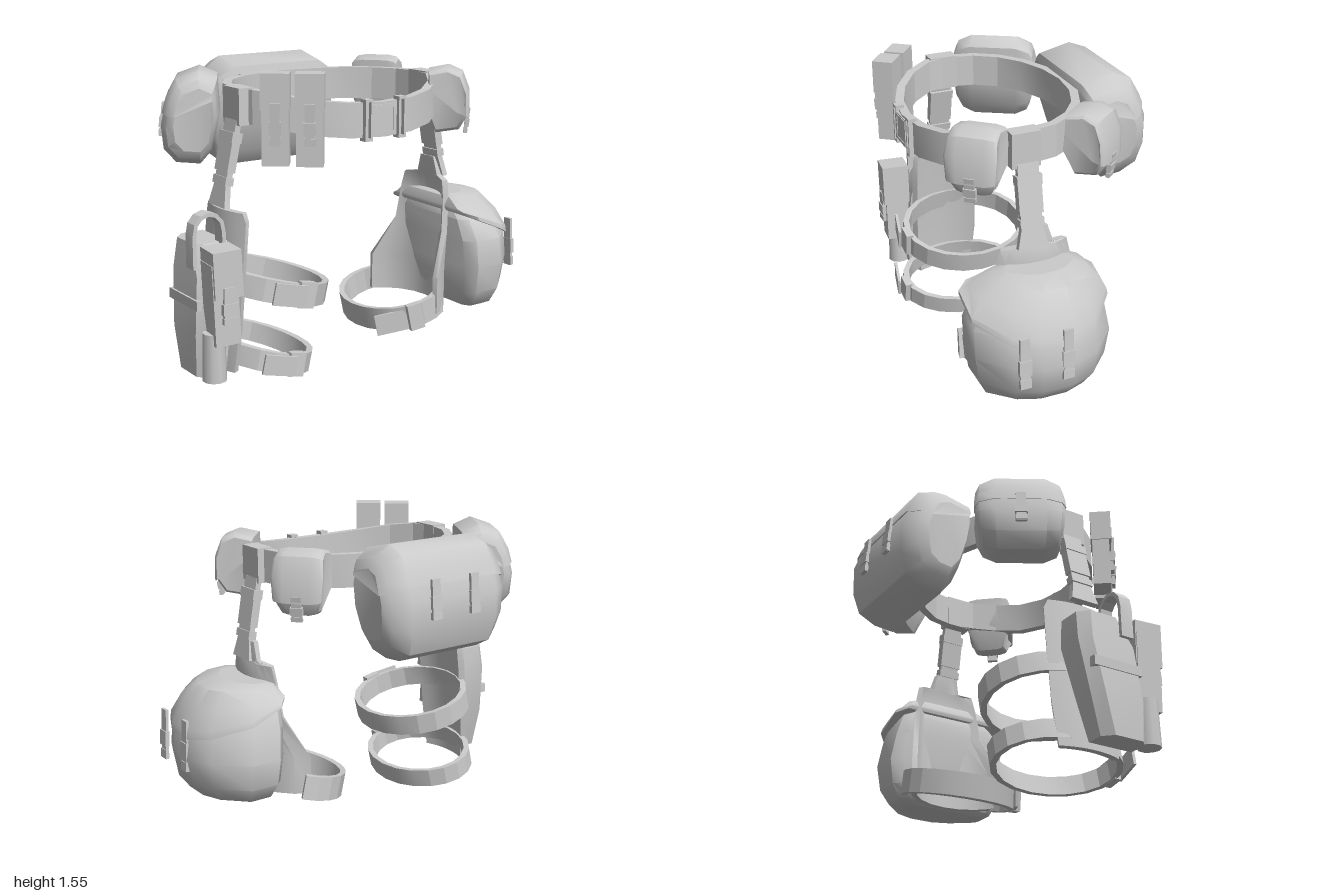
import * as THREE from 'three';
import { toCreasedNormals } from 'three/addons/utils/BufferGeometryUtils.js';

const mat = new THREE.MeshStandardMaterial({ color: 0xcccccc, side: THREE.DoubleSide });
const rad = THREE.MathUtils.degToRad;

// Skin a row of equal-length loops of [x, y, z] points and cap both ends
function loft(name, sections, crease = 0.3) {
  const m = sections[0].length, n = sections.length, pos = sections.flat(2), idx = [];
  const quad = (a, b, c, d) => idx.push(a, b, c, a, c, d);
  for (let s = 0; s < n - 1; s++) {
    for (let i = 0; i < m; i++) {
      const j = (i + 1) % m;
      quad(s * m + i, s * m + j, (s + 1) * m + j, (s + 1) * m + i);
    }
  }
  const cap = (o, flip) => {
    for (let i = 0; i + 1 <= m - 2 - i; i++) {
      const q = [i, m - 1 - i, m - 2 - i, i + 1].map(k => k + o);
      if (i + 1 === m - 2 - i) idx.push(...(flip ? [q[0], q[2], q[1]] : [q[0], q[1], q[2]]));
      else quad(...(flip ? q.reverse() : q));
    }
  };
  cap(0, true);
  cap((n - 1) * m, false);
  // turn the faces outward if the enclosed volume is negative
  const p = k => new THREE.Vector3().fromArray(pos, idx[k] * 3);
  let volume = 0;
  for (let k = 0; k < idx.length; k += 3) volume += p(k).dot(p(k + 1).cross(p(k + 2)));
  if (volume < 0) idx.reverse();
  const g = new THREE.BufferGeometry();
  g.setAttribute('position', new THREE.Float32BufferAttribute(pos, 3));
  g.setIndex(idx);
  const mesh = new THREE.Mesh(toCreasedNormals(g, crease), mat);
  mesh.name = name;
  return mesh;
}

function box(name, size, at, ry = 0, rx = 0, rz = 0) {
  const mesh = new THREE.Mesh(new THREE.BoxGeometry(...size), mat);
  mesh.name = name;
  mesh.position.set(...at);
  mesh.rotation.set(rx, ry, rz, 'YXZ');
  return mesh;
}

function group(name, ...parts) {
  const g = new THREE.Group();
  g.name = name;
  return g.add(...parts);
}

// Elliptical band; yOf gives its middle height, lean shifts the top edge along x
function band(name, cx, cz, rx, rz, yOf, h, t, lean = 0, a0 = 0, a1 = 360, n = 20) {
  const sections = [];
  for (let i = 0; i <= n; i++) {
    const a = rad(a0 + (a1 - a0) * i / n), c = Math.cos(a), s = Math.sin(a);
    const y = yOf(cx + rx * c, cz + rz * s);
    sections.push([[0, -1], [0, 1], [t, 1], [t, -1]].map(([k, v]) =>
      [cx + (rx - k) * c + lean * v * h / 2, y + v * h / 2, cz + (rz - k) * s]));
  }
  return loft(name, sections);
}

// Curved plate: rows of [y, centre x, half angle], facing along +x (mid 0) or -x (mid 180)
function shell(name, rows, mid, cz, rx, rz, t = 0.03) {
  return loft(name, rows.map(([y, cx, half]) => {
    const arc = (k, dir) => Array.from({ length: 9 }, (_, i) => {
      const a = rad(mid + dir * half * (i / 4 - 1));
      return [cx + (rx - k) * Math.cos(a), y, cz + (rz - k) * Math.sin(a)];
    });
    return [...arc(0, 1), ...arc(t, -1)];
  }), 0.6);
}

// Bulging sack from rows of [y, x0, x1, z0, z1, slope], rounded on its +x side;
// slope lifts the inner side of a row
function sack(name, rows) {
  const outline = [[0, 0.08], [0.12, 0], [0.5, 0], [0.87, 0.2], [1, 0.38]];
  return loft(name, rows.map(([y, x0, x1, z0, z1, slope = 0]) => {
    const side = outline.map(([u, v]) => [u, v]);
    const far = outline.map(([u, v]) => [u, 1 - v]).reverse();
    return [...side, ...far].map(([u, v]) =>
      [x0 + (x1 - x0) * u, y + slope * (1 - u), z0 + (z1 - z0) * v]);
  }), 0.75);
}

// Flat webbing along [x, y] points, with its width along z
function webbing(name, pts, cz, widths, t = 0.025) {
  return loft(name, pts.map(([x, y], i) => {
    const a = pts[Math.max(i - 1, 0)], b = pts[Math.min(i + 1, pts.length - 1)];
    const l = Math.hypot(b[0] - a[0], b[1] - a[1]), w = (widths[i] ?? widths[0]) / 2;
    const nx = (b[1] - a[1]) / l * t / 2, ny = -(b[0] - a[0]) / l * t / 2;
    return [[x + nx, y + ny, cz - w], [x + nx, y + ny, cz + w], [x - nx, y - ny, cz + w], [x - nx, y - ny, cz - w]];
  }));
}

// Flap fastener: a strap with a buckle and a loose end
function clip(x, y, z, len, tilt = 0, w = 0.05) {
  const g = group('clip',
    box('clipStrap', [w, len, 0.016], [0, 0, 0]),
    box('clipBuckle', [w * 1.25, len * 0.3, 0.024], [0, -len * 0.08, 0.002]),
    box('clipEnd', [w * 1.15, len * 0.18, 0.02], [0, -len * 0.4, 0.002]));
  g.position.set(x, y, z);
  g.rotation.x = tilt;
  return g;
}

// Soft pouch: a [z, y] side profile stretched over stations of [half width, scale],
// narrowed by [top, bottom] taper
function pouch(name, at, normal, profile, flapProfile, stations, [top, bottom], clips) {
  const zs = profile.map(p => p[0]), ys = profile.map(p => p[1]);
  const cz = Math.min(...zs) * 0.7 + Math.max(...zs) * 0.3;
  const cy = (Math.min(...ys) + Math.max(...ys)) / 2, hy = Math.max(...ys) - cy;
  const all = [...stations.map(([x, s]) => [-x, s]), ...[...stations].reverse()];
  const stretch = (pts, grow) => all.map(([x, s]) => pts.map(([z, y]) => {
    const v = (y - cy) / hy, narrow = 1 - (v > 0 ? top : bottom) * v * v;
    return [x * grow * narrow, cy + (y - cy) * s * grow, cz + (z - cz) * s * grow];
  }));
  const g = group(name,
    loft(name + 'Body', stretch(profile, 1), 0.75),
    loft(name + 'Flap', stretch(flapProfile, 1.025), 0.75),
    ...clips.map(c => clip(...c)));
  g.position.set(at[0], 0, at[1]);
  g.rotation.y = Math.atan2(normal[0], normal[1]);
  return g;
}

export function createModel() {
  const model = group('beltRig');

  // Waist belt, dipping in front
  const beltY = (x, z) => 1.365 - 0.25 * Math.max(0, z - 0.35);
  model.add(band('waistBelt', -0.07, 0.155, 0.585, 0.455, beltY, 0.17, 0.045));

  // Front buckle
  const buckle = group('frontBuckle', box('bucklePlate', [0.14, 0.15, 0.025], [-0.08, 1.3, 0.602]));
  for (const s of [-1, 1]) {
    const x = -0.07 + s * 0.1;
    for (const d of [-0.016, 0.016]) buckle.add(box('frameBar', [0.013, 0.2, 0.045], [x + d, 1.303, 0.596]));
    for (const d of [-0.095, 0.095]) buckle.add(box('frameEnd', [0.045, 0.013, 0.045], [x, 1.303 + d, 0.596]));
    buckle.add(box('plateRim', [0.14, 0.013, 0.02], [-0.08, 1.3 + s * 0.062, 0.608]));
    buckle.add(box('plateRim', [0.013, 0.12, 0.02], [-0.08 + s * 0.064, 1.3, 0.608]));
  }
  model.add(buckle);

  // Large back pouch
  model.add(pouch('backPouch', [-0.115, -0.465], [0, -1],
    [[-0.18, 1.48], [-0.01, 1.52], [0.09, 1.48], [0.14, 1.39], [0.185, 1.27], [0.185, 1.11], [0.15, 1.0],
      [0.06, 0.95], [-0.05, 0.94], [-0.11, 1.02], [-0.16, 1.2], [-0.195, 1.38]],
    [[-0.18, 1.48], [-0.01, 1.52], [0.09, 1.48], [0.14, 1.39], [0.16, 1.34], [-0.19, 1.44]],
    [[0.38, 0.62], [0.355, 0.8], [0.27, 1]], [0.05, 0.08],
    [[-0.125, 1.27, 0.186, 0.2, -0.08], [0.12, 1.27, 0.186, 0.2, -0.08]]));

  // Smaller pouch behind the right hip
  model.add(pouch('rightHipPouch', [-0.71, -0.155], [-0.86, -0.5],
    [[-0.13, 1.47], [-0.04, 1.51], [0.07, 1.47], [0.12, 1.38], [0.15, 1.25], [0.14, 1.13], [0.08, 1.06],
      [-0.04, 1.05], [-0.1, 1.12], [-0.14, 1.3]],
    [[-0.13, 1.47], [-0.04, 1.51], [0.07, 1.47], [0.12, 1.38], [0.14, 1.31], [-0.13, 1.42]],
    [[0.225, 0.68], [0.205, 0.86], [0.13, 1]], [0.05, 0.1], [[0, 1.26, 0.15, 0.17, -0.1]]));

  // Two small pouches on the left hip
  for (const s of [1, -1]) {
    model.add(pouch(s > 0 ? 'leftFrontPouch' : 'leftRearPouch', [0.48, s > 0 ? 0.425 : -0.185], [0.75, s * 0.65],
      [[-0.1, 1.48], [0, 1.5], [0.07, 1.47], [0.105, 1.38], [0.105, 1.26], [0.06, 1.18], [-0.06, 1.16], [-0.11, 1.3]],
      [[-0.1, 1.48], [0, 1.5], [0.07, 1.47], [0.105, 1.38], [0.11, 1.25], [0.06, 1.27], [-0.1, 1.4]],
      [[0.13, 0.88], [0.118, 0.95], [0.07, 1]], [0.1, 0.35], [[0, 1.22, 0.1, 0.13, 0.15]]));
  }

  // Pair of tall pouches on the right front
  for (const [x, z] of [[-0.592, 0.45], [-0.468, 0.555]]) {
    const g = group('tallPouch',
      box('tallPouchBody', [0.128, 0.4, 0.09], [0, 1.31, 0]),
      box('tallPouchFlap', [0.138, 0.17, 0.108], [0, 1.463, 0.004]),
      clip(0, 1.31, 0.06, 0.2, 0.06, 0.045));
    g.position.set(x, 0, z);
    g.rotation.y = Math.atan2(-0.6, 0.8);
    model.add(g);
  }

  // Hanging straps from belt to legs: belt loop, webbing, sliders
  for (const [s, top, foot] of [[1, 0.53, 0.605], [-1, -0.67, -0.76]]) {
    const at = k => [top + (foot - top) * k, 1.3 - 0.42 * k];
    const lean = Math.atan2(foot - top, 0.42);
    model.add(group(s > 0 ? 'leftHanger' : 'rightHanger',
      box('beltLoop', [0.085, 0.18, 0.15], [top - s * 0.028, 1.367, 0.195]),
      webbing('hangerStrap', [at(0), at(0.5), at(0.75), at(1)], 0.19, [0.11, 0.11, 0.11, 0.16], 0.03),
      box('hangerOverlap', [0.045, 0.17, 0.125], [at(0.4)[0], at(0.4)[1], 0.19], 0, 0, lean),
      box('slider', [0.055, 0.05, 0.13], [...at(0.2), 0.19], 0, 0, lean),
      box('slider', [0.045, 0.04, 0.125], [...at(0.7), 0.19], 0, 0, lean)));
  }

  // Left leg: wrap panel, thigh strap and bag
  model.add(shell('leftLegPanel',
    [[0.18, 0.33, 74], [0.38, 0.33, 74], [0.6, 0.34, 46], [0.79, 0.345, 40], [0.87, 0.34, 35], [0.885, 0.335, 17], [0.98, 0.325, 11]],
    0, 0.165, 0.27, 0.31));
  const leftY = x => 0.145 + (x - 0.08) * 0.23;
  model.add(group('leftThighStrap',
    band('leftThighBand', 0.355, 0.135, 0.26, 0.325, leftY, 0.125, 0.03, -0.23, 65, 295, 14),
    box('strapSlider', [0.08, 0.14, 0.04], [0.27, 0.19, 0.445], -0.25, 0, 0.2),
    box('strapTab', [0.18, 0.11, 0.015], [0.17, 0.155, 0.38], -0.5, 0, 0.2)));
  const legClips = group('legBagClips', clip(-0.185, 0.48, 0, 0.27, -0.04), clip(0.04, 0.48, 0, 0.27, -0.04));
  legClips.position.set(0.975, 0, 0.205);
  legClips.rotation.y = Math.PI / 2;
  model.add(group('leftLegBag',
    sack('legBagBody', [
      [0.18, 0.62, 0.82, -0.04, 0.46], [0.2, 0.59, 0.9, -0.09, 0.5], [0.28, 0.565, 0.96, -0.14, 0.54],
      [0.42, 0.555, 0.985, -0.16, 0.56], [0.57, 0.54, 0.96, -0.135, 0.56], [0.68, 0.54, 0.91, -0.1, 0.5],
      [0.76, 0.56, 0.85, -0.05, 0.4], [0.785, 0.59, 0.72, 0, 0.33]]),
    sack('legBagFlap', [
      [0.525, 0.535, 0.98, -0.15, 0.572, 0.19], [0.57, 0.53, 0.972, -0.145, 0.57, 0.16], [0.68, 0.53, 0.92, -0.11, 0.515, 0.06],
      [0.77, 0.55, 0.855, -0.06, 0.41, 0.015], [0.795, 0.58, 0.73, -0.01, 0.34]]),
    legClips));

  // Right leg: plate and two thigh straps
  model.add(shell('rightLegPlate',
    [[0.07, -0.535, 30], [0.3, -0.525, 34], [0.65, -0.495, 34], [0.82, -0.475, 33], [0.865, -0.47, 29]],
    180, 0.17, 0.28, 0.35, 0.035));
  for (const [name, cx, rx, y, h] of [['upperThighStrap', -0.478, 0.3, 0.455, 0.11], ['lowerThighStrap', -0.54, 0.255, 0.11, 0.1]]) {
    const strapY = x => y - (x - cx) * 0.23;
    model.add(group(name,
      band(name + 'Band', cx, 0.145, rx, 0.355, strapY, h, 0.032, 0.23),
      box('strapSlider', [0.09, h + 0.02, 0.04], [cx + 0.02, strapY(cx), 0.495], 0, 0, -0.2),
      box('strapTab', [0.17, h, 0.015], [cx - 0.08, strapY(cx - 0.08), 0.515], -0.2, 0, -0.2)));
  }

  // Right leg holster: tapering body, front pocket, tube and carrying loop
  const body = [[0.09, -0.98, -0.84, 0.12, 0.37], [0.3, -0.985, -0.82, 0.07, 0.38], [0.58, -0.96, -0.77, 0.03, 0.36], [0.73, -0.94, -0.77, 0.04, 0.28]];
  const tube = new THREE.Mesh(new THREE.CylinderGeometry(0.055, 0.06, 0.24, 10), mat);
  tube.name = 'holsterTube';
  tube.position.set(-0.925, 0.21, 0.41);
  const arch = [[-0.965, 0.62], [-0.965, 0.78]];
  for (let i = 1; i < 6; i++) arch.push([-0.885 - 0.08 * Math.cos(i * Math.PI / 6), 0.79 + 0.09 * Math.sin(i * Math.PI / 6)]);
  arch.push([-0.805, 0.78], [-0.805, 0.62]);
  model.add(group('holster',
    loft('holsterBody', body.map(([y, x0, x1, z0, z1]) =>
      [[x1, y, z0], [x0 + 0.05, y, z0], [x0, y, z0 + 0.05], [x0, y, z1 - 0.04], [x0 + 0.04, y, z1], [x1, y, z1]]), 0.5),
    box('holsterPocket', [0.13, 0.4, 0.13], [-0.89, 0.48, 0.425], -0.1, 0, 0.04),
    box('holsterPocketLid', [0.145, 0.23, 0.15], [-0.885, 0.63, 0.43], -0.1, 0, 0.04),
    clip(-0.89, 0.48, 0.503, 0.18, 0, 0.06),
    box('holsterBand', [0.19, 0.05, 0.28], [-0.885, 0.45, 0.21]),
    tube,
    webbing('carryLoop', arch, 0.28, [0.07], 0.02)));

  return model;
}
